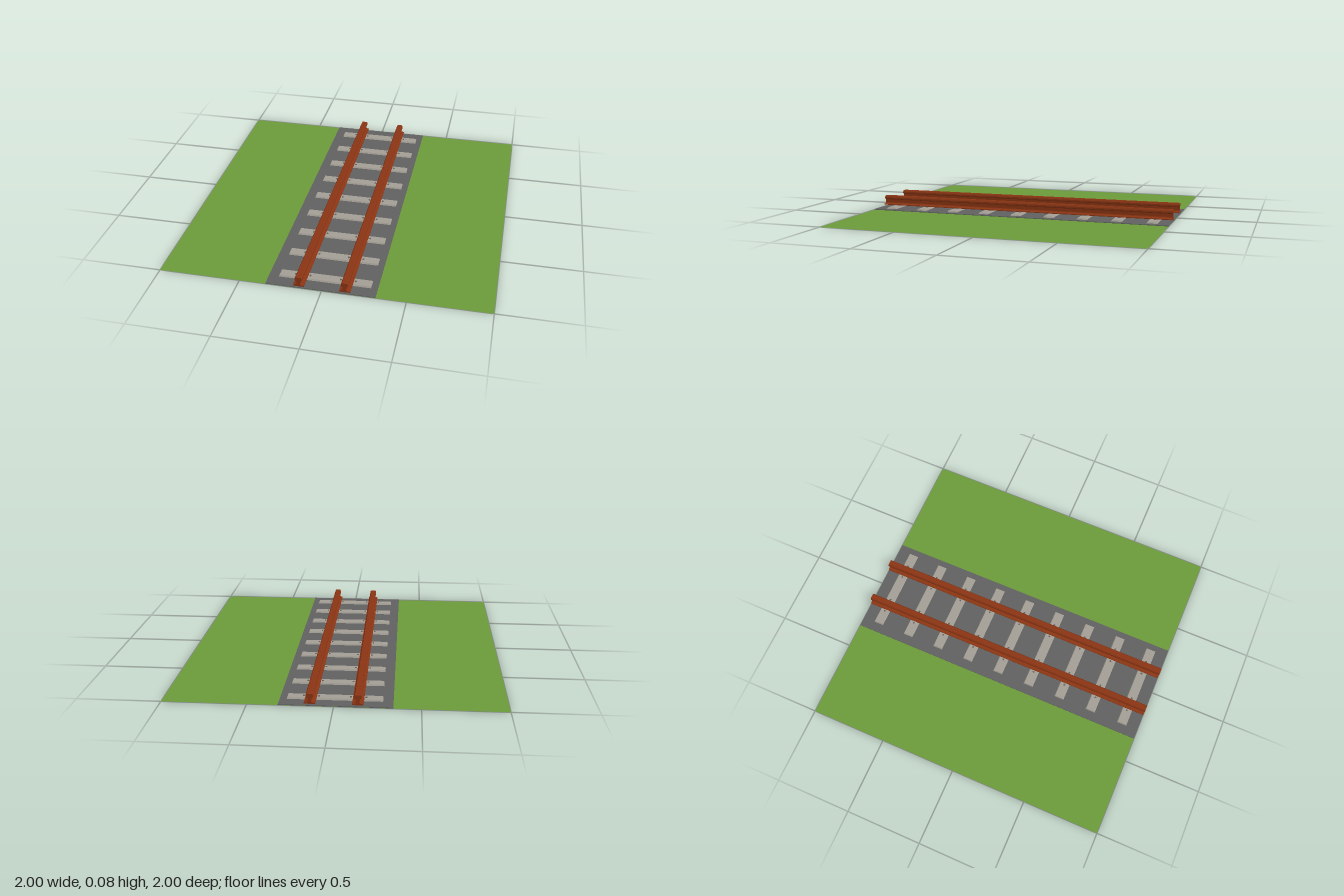
import * as THREE from 'three';

const paint = (color) => new THREE.MeshStandardMaterial({ color, flatShading: true });

// Box whose top is inset on all sides, standing on y = 0
function taperedBox(w, h, d, inset) {
  const geo = new THREE.BoxGeometry(w, h, d).translate(0, h / 2, 0);
  const p = geo.attributes.position;
  for (let i = 0; i < p.count; i++) {
    if (p.getY(i) < h / 2) continue;
    p.setX(i, p.getX(i) - Math.sign(p.getX(i)) * inset);
    p.setZ(i, p.getZ(i) - Math.sign(p.getZ(i)) * inset);
  }
  geo.computeVertexNormals();
  return geo;
}

// Half of the rail section from foot to head, mirrored to close it
function railGeometry(length) {
  const half = [
    [0.033, 0.014], [0.033, 0.019], [0.012, 0.025], [0.01, 0.03],
    [0.01, 0.05], [0.022, 0.056], [0.022, 0.066], [0.016, 0.076],
  ];
  const mirrored = half.map(([x, y]) => [-x, y]).reverse();
  const shape = new THREE.Shape([...half, ...mirrored].map(([x, y]) => new THREE.Vector2(x, y)));
  return new THREE.ExtrudeGeometry(shape, { depth: length, bevelEnabled: false }).translate(0, 0, -length / 2);
}

export function createModel() {
  const group = new THREE.Group();
  const grass = paint(0x6b9a39);
  grass.side = THREE.DoubleSide;
  const gravel = paint(0x606060);
  const concrete = paint(0xa39e94);
  const rust = paint(0x8a3413);
  const steel = paint(0x66625c);

  const add = (name, geo, mat, x = 0, y = 0, z = 0, parent = group) => {
    const mesh = new THREE.Mesh(geo, mat);
    mesh.name = name;
    mesh.position.set(x, y, z);
    parent.add(mesh);
    return mesh;
  };

  // Ground and ballast strip
  add('ground', new THREE.PlaneGeometry(2, 2).rotateX(-Math.PI / 2), grass);
  add('ballastBed', new THREE.BoxGeometry(0.66, 0.004, 2), gravel, -0.01, 0.003, 0);

  // Sleepers, each with a bolt on both sides of both rails
  const railX = 0.138;
  const sleeperGeo = taperedBox(0.56, 0.009, 0.066, 0.005);
  const boltGeo = new THREE.CylinderGeometry(0.006, 0.007, 0.006, 6);
  for (let i = -4; i <= 4; i++) {
    const sleeper = new THREE.Group();
    sleeper.name = 'sleeper';
    sleeper.position.z = i * 0.2225;
    group.add(sleeper);
    add('sleeperBeam', sleeperGeo, concrete, 0, 0.005, 0, sleeper);
    for (const side of [-1, 1]) {
      for (const offset of [-0.045, 0.045]) {
        add('railBolt', boltGeo, steel, side * railX + offset, 0.015, 0, sleeper);
      }
    }
  }

  // Rails
  const railGeo = railGeometry(2);
  add('leftRail', railGeo, rust, railX);
  add('rightRail', railGeo, rust, -railX);

  return group;
}
